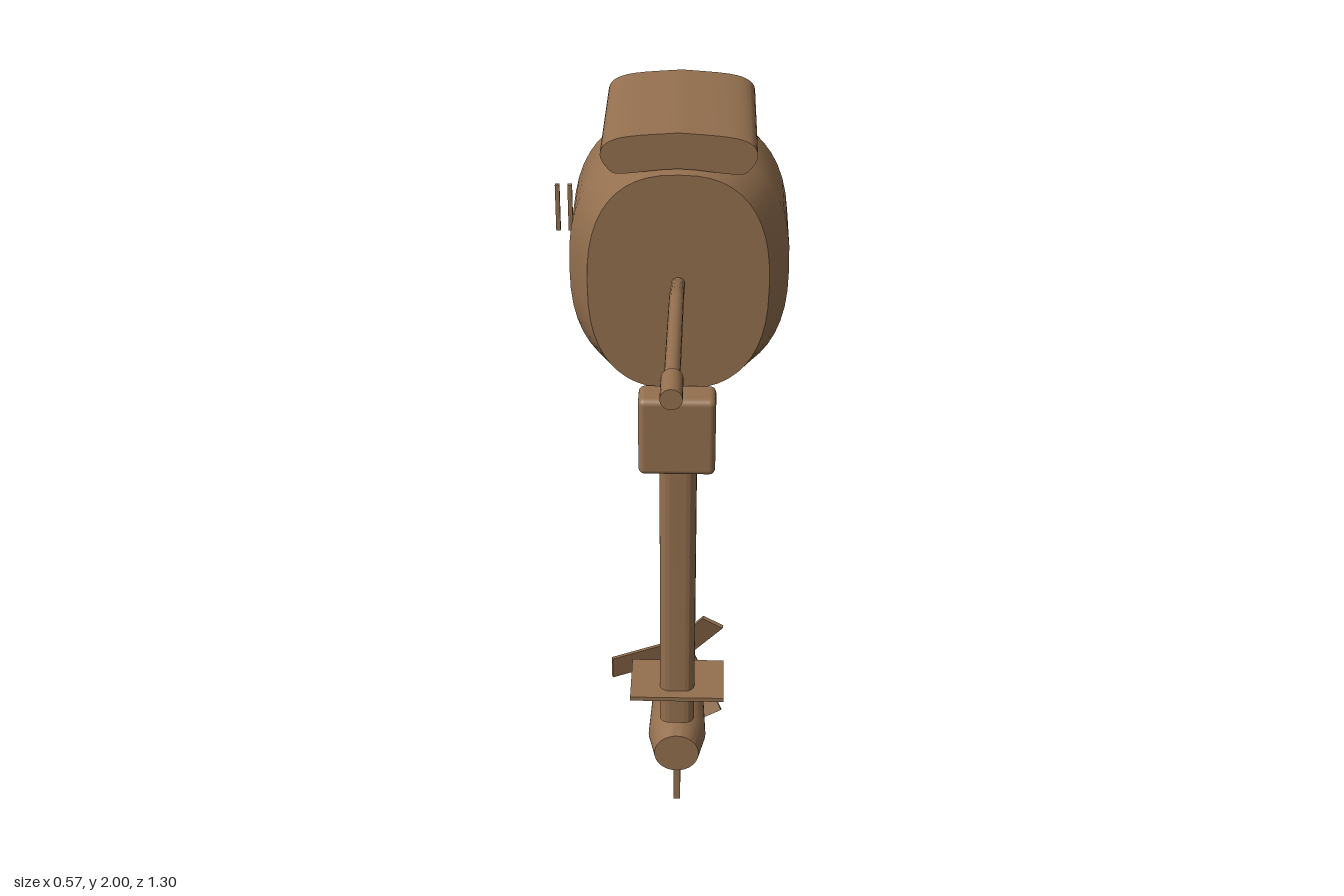
import * as THREE from 'three';
import { toCreasedNormals } from 'three/addons/utils/BufferGeometryUtils.js';
import { RoundedBoxGeometry } from 'three/addons/geometries/RoundedBoxGeometry.js';

const bronze = new THREE.MeshStandardMaterial({ color: 0x94704f });
bronze.name = 'bronze';

// Rounded body along z; sections run front to back as [z, halfWidth, bottom, top]
function loft(sections, power) {
  const steps = sections.length - 1;
  const geometry = new THREE.CylinderGeometry(1, 1, 1, 48, steps);
  geometry.rotateX(Math.PI / 2);
  const p = geometry.attributes.position;
  const bulge = (v) => (Math.abs(v) < 1e-6 ? 0 : Math.sign(v) * Math.abs(v) ** (2 / power));
  for (let i = 0; i < p.count; i++) {
    const [z, half, bottom, top] = sections[Math.round((0.5 - p.getZ(i)) * steps)];
    p.setXYZ(i, bulge(p.getX(i)) * half, (top + bottom) / 2 + bulge(p.getY(i)) * (top - bottom) / 2, z);
  }
  return toCreasedNormals(geometry, 0.75);
}

export function createModel() {
  const model = new THREE.Group();
  model.name = 'outboardMotor';
  const motor = new THREE.Group();
  motor.name = 'motor';
  motor.position.x = 0.026;
  model.add(motor);

  const add = (name, geometry, x = 0, y = 0, z = 0, parent = motor) => {
    const mesh = new THREE.Mesh(geometry, bronze);
    mesh.name = name;
    mesh.position.set(x, y, z);
    parent.add(mesh);
    return mesh;
  };

  // Engine cowl
  add('cowl', loft([
    [-0.093, 0.205, 1.385, 1.912],
    [-0.22, 0.254, 1.345, 1.925],
    [-0.395, 0.254, 1.345, 1.943],
    [-0.535, 0.205, 1.36, 1.928],
  ], 2.5));

  // Lid on top of the cowl
  const outline = new THREE.SplineCurve([
    [0, 2], [-0.11, 1.991], [-0.158, 1.975], [-0.172, 1.948], [-0.155, 1.917], [-0.125, 1.906],
    [0, 1.918], [0.125, 1.906], [0.155, 1.917], [0.172, 1.948], [0.158, 1.975], [0.11, 1.991], [0, 2],
  ].map(([x, y]) => new THREE.Vector2(x, y))).getPoints(48);
  const lid = new THREE.ExtrudeGeometry(new THREE.Shape(outline), { depth: 0.405, bevelEnabled: false });
  add('lid', toCreasedNormals(lid, 0.75), 0, 0, -0.518);

  // Steering tiller and grip
  const bend = new THREE.CurvePath();
  const path = [[1.65, -0.1], [1.715, 0.1], [1.772, 0.58]].map(([y, z]) => new THREE.Vector3(0, y, z));
  bend.add(new THREE.LineCurve3(path[0], path[1].clone().lerp(path[0], 0.12)));
  bend.add(new THREE.QuadraticBezierCurve3(
    path[1].clone().lerp(path[0], 0.12), path[1], path[1].clone().lerp(path[2], 0.05)));
  bend.add(new THREE.LineCurve3(path[1].clone().lerp(path[2], 0.05), path[2]));
  add('tiller', new THREE.TubeGeometry(bend, 48, 0.016, 16));
  add('grip', new THREE.CylinderGeometry(0.022, 0.022, 0.085, 24).rotateX(Math.PI / 2), 0, 1.77, 0.612);

  // Clamp bracket and drive leg
  add('bracket', new RoundedBoxGeometry(0.18, 0.2, 0.085, 4, 0.015), 0, 1.3, -0.048);
  const leg = new THREE.Shape();
  const w = 0.046, d = 0.112, r = 0.026;
  leg.absarc(w - r, d - r, r, 0, Math.PI / 2);
  leg.absarc(r - w, d - r, r, Math.PI / 2, Math.PI);
  leg.absarc(r - w, r - d, r, Math.PI, Math.PI * 1.5);
  leg.absarc(w - r, r - d, r, Math.PI * 1.5, Math.PI * 2);
  const legGeometry = new THREE.ExtrudeGeometry(leg, { depth: 1.1, bevelEnabled: false, curveSegments: 8 });
  add('leg', toCreasedNormals(legGeometry.rotateX(-Math.PI / 2), 0.75), 0, 0.3, -0.316);

  // Underwater parts
  add('cavitationPlate', new THREE.BoxGeometry(0.248, 0.012, 0.167), 0, 0.402, -0.259);
  const gearProfile = [[-0.175, 0.06], [-0.26, 0.078], [-0.45, 0.07], [-0.535, 0.04]];
  add('gearcase', loft(gearProfile.map(([z, half]) => [z, half, 0.217 - half, 0.217 + half]), 2));
  add('skeg', new THREE.BoxGeometry(0.018, 0.16, 0.212), 0, 0.08, -0.344);

  // Propeller: hub and three blades raked forward at the tips
  const propeller = new THREE.Group();
  propeller.name = 'propeller';
  propeller.position.set(0, 0.217, 0);
  motor.add(propeller);
  add('hub', new THREE.CylinderGeometry(0.034, 0.034, 0.08, 24).rotateX(Math.PI / 2), 0, 0, -0.602, propeller);
  for (let i = 0; i < 3; i++) {
    const arm = new THREE.Group();
    arm.name = 'bladeArm';
    arm.rotation.z = Math.PI + i * Math.PI * 2 / 3;
    propeller.add(arm);
    const blade = add('blade', new THREE.BoxGeometry(0.2, 0.066, 0.01), 0.102, 0, -0.6, arm);
    blade.rotation.y = -0.46;
  }

  // Row of vent slats behind the cowl
  for (let i = 0; i < 5; i++) {
    add('ventSlat', new THREE.BoxGeometry(0.011, 0.12, 0.011), -0.307 + i * 0.031, 1.626, -0.581);
  }
  return model;
}
